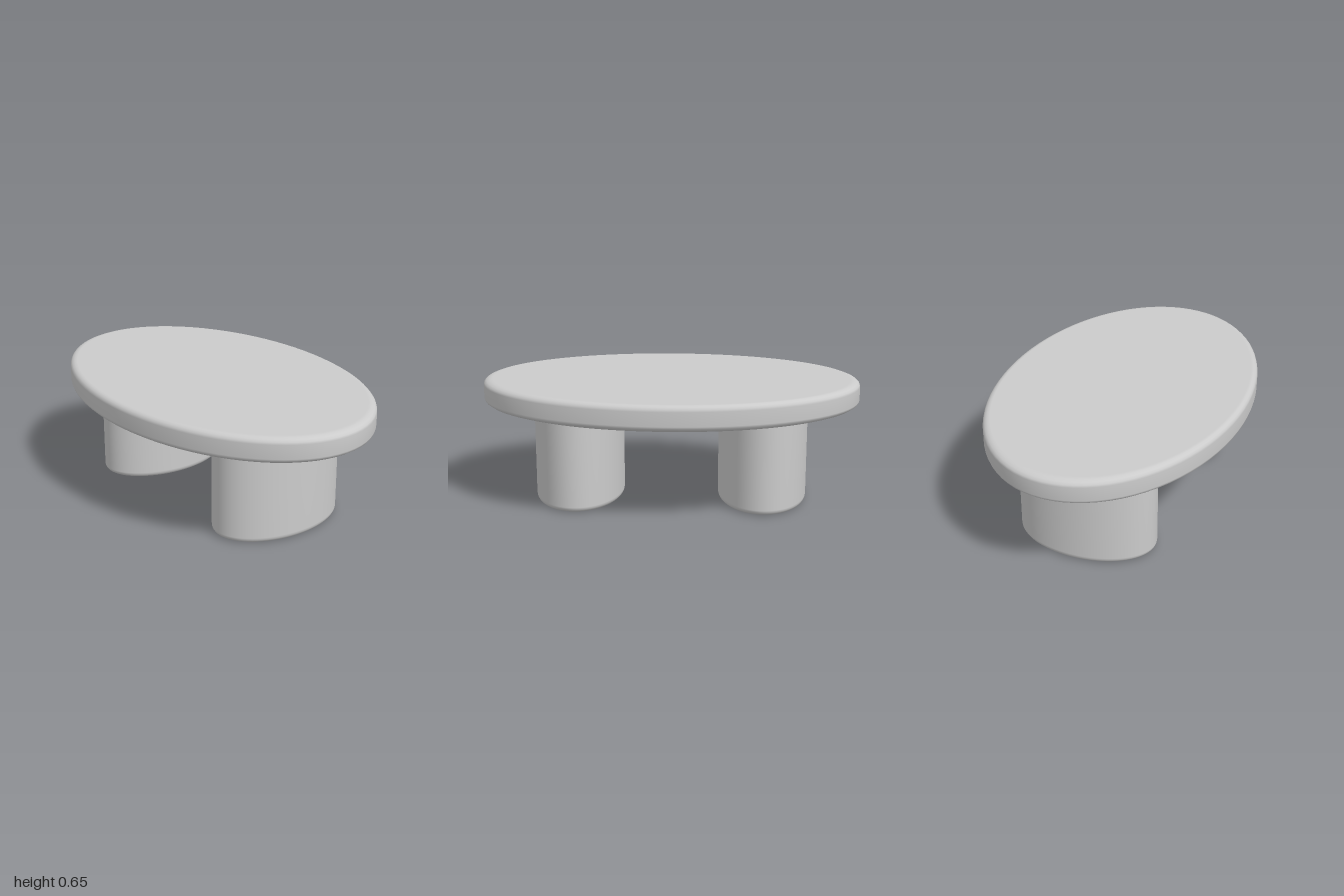
import * as THREE from 'three';

const material = new THREE.MeshStandardMaterial({ color: 0xcccccc });

// Elliptical slab with softened rims: a unit-radius lathe stretched in x and z.
// Edges are [inset, height], inset being a fraction of the radius.
function ellipticSlab(name, rx, rz, y0, y1, bottomEdge, topEdge) {
  const [bi, bh] = bottomEdge;
  const [ti, th] = topEdge;
  const points = [new THREE.Vector2(0, y0)];
  const steps = 4;
  for (let i = 0; i <= steps; i++) {
    const a = (i / steps) * Math.PI / 2;
    points.push(new THREE.Vector2(1 - bi + bi * Math.sin(a), y0 + bh * (1 - Math.cos(a))));
  }
  for (let i = 0; i <= steps; i++) {
    const a = (i / steps) * Math.PI / 2;
    points.push(new THREE.Vector2(1 - ti + ti * Math.cos(a), y1 - th + th * Math.sin(a)));
  }
  points.push(new THREE.Vector2(0, y1));
  const geometry = new THREE.LatheGeometry(points, 80);
  geometry.scale(rx, 1, rz);
  const mesh = new THREE.Mesh(geometry, material);
  mesh.name = name;
  return mesh;
}

export function createModel() {
  const table = new THREE.Group();
  table.name = 'ovalTable';

  // Oval top, with a wider rounding underneath
  table.add(ellipticSlab('tableTop', 1, 0.655, 0.51, 0.648, [0.08, 0.035], [0.05, 0.03]));

  // Two broad oval pedestals
  for (const side of [1, -1]) {
    const leg = ellipticSlab(side > 0 ? 'leftLeg' : 'rightLeg',
      0.237, 0.37, 0, 0.512, [0.08, 0.028], [0.08, 0.035]);
    leg.position.x = side * 0.493;
    table.add(leg);
  }
  return table;
}
